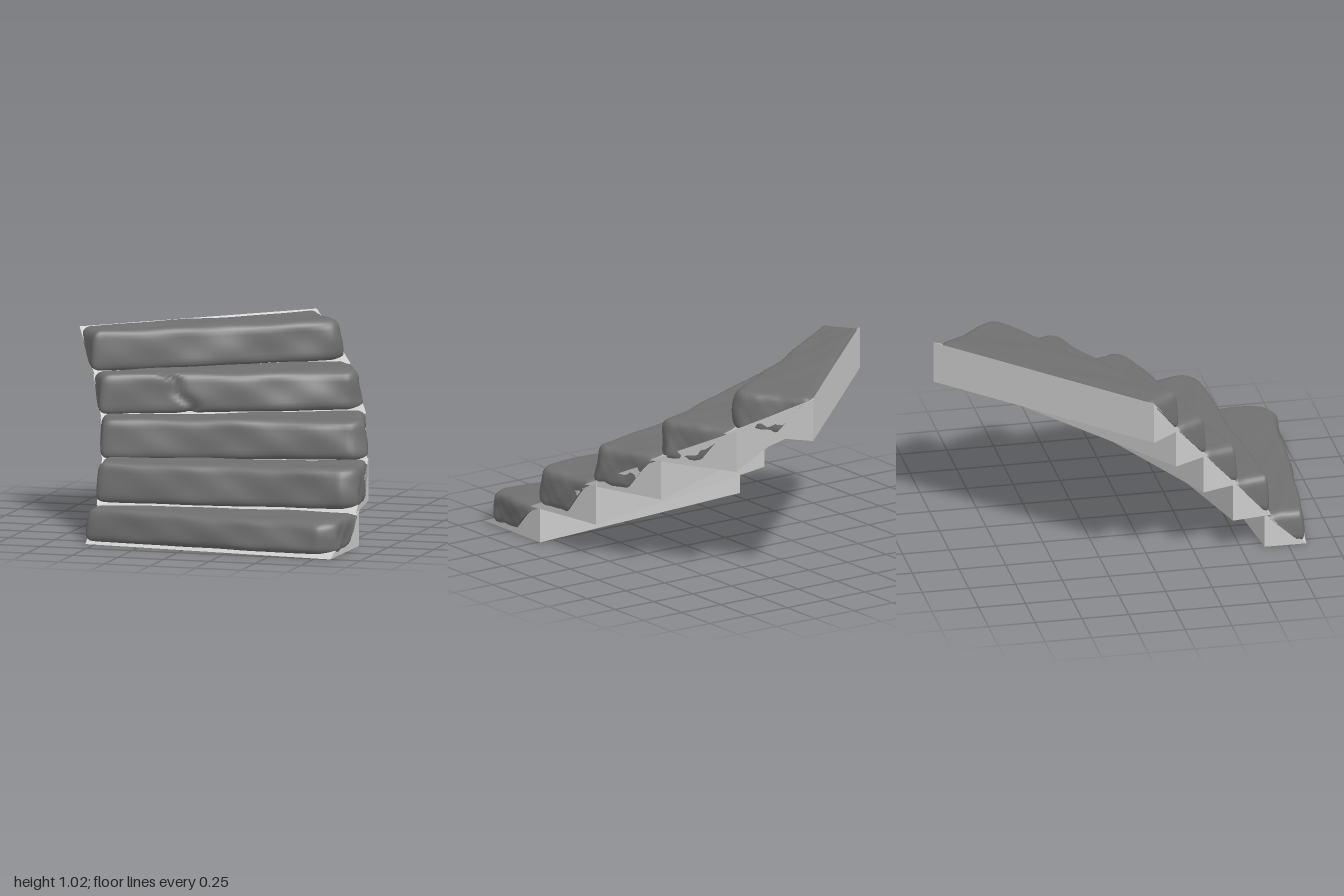
import * as THREE from 'three';
import { mergeVertices } from 'three/addons/utils/BufferGeometryUtils.js';

// Plan of the curved flight: centre of the arc, inner and outer radius
const CX = -1.64, CZ = 0.73, R0 = 1.095, R1 = 2.49;
const RAD = Math.PI / 180;
const STEPS = [
  { front: 6.2, back: -5.5, base: 0.0, block: 0.185, top: 0.19 },
  { front: -3.6, back: -14.9, base: 0.18, block: 0.405, top: 0.41 },
  { front: -13.0, back: -24.4, base: 0.385, block: 0.605, top: 0.61 },
  { front: -22.8, back: -34.4, base: 0.59, block: 0.81, top: 0.815 },
  { front: -32.8, back: -44.0, base: 0.79, block: 1.015, top: 1.02 },
];

const polar = (r, deg) => [CX + r * Math.cos(deg * RAD), CZ + r * Math.sin(deg * RAD)];
const clamp = THREE.MathUtils.clamp, lerp = THREE.MathUtils.lerp, smooth = THREE.MathUtils.smoothstep;

// Gentle uneven surface, different on every step
function wobble(a, b, k) {
  return 0.5 * Math.sin(a * 7 + b * 5 + k * 2.1) + 0.3 * Math.sin(a * 15 - b * 9 + k * 4.3)
    + 0.2 * Math.sin(a * 27 + b * 13 + k * 1.7);
}

// Wedge with flat bottom, upright back and sloping upper face
function supportGeometry(st) {
  const at = (r, deg, y) => { const [x, z] = polar(r, deg); return [x, y, z]; };
  const corners = [
    at(R0, st.front, st.base), at(R1, st.front, st.base),
    at(R0, st.back, st.base), at(R1, st.back, st.base),
    at(R0, st.back, st.block), at(R1, st.back, st.block),
  ];
  const faces = [0, 2, 3, 0, 3, 1, 2, 4, 5, 2, 5, 3, 0, 1, 5, 0, 5, 4, 0, 4, 2, 1, 3, 5];
  const g = new THREE.BufferGeometry();
  g.setAttribute('position', new THREE.Float32BufferAttribute(faces.flatMap(i => corners[i]), 3));
  g.computeVertexNormals();
  return g;
}

// Worn stone: a rounded box bent into the wedge plan, roughened, cut away along the support's slope
function stoneGeometry(st, k) {
  const L = R1 - R0, D = 0.36, H = st.top - st.base - 0.012, r = 0.04;
  let g = new THREE.BoxGeometry(L, H, D, 72, 12, 22);
  g.deleteAttribute('uv');
  g.deleteAttribute('normal');
  g = mergeVertices(g);
  const pos = g.attributes.position;
  const p = new THREE.Vector3(), core = new THREE.Vector3();
  for (let i = 0; i < pos.count; i++) {
    // Rounded edges
    p.fromBufferAttribute(pos, i);
    core.set(
      clamp(p.x, -L / 2 + r, L / 2 - r),
      clamp(p.y, -H / 2 + r, H / 2 - r),
      clamp(p.z, -D / 2 + r, D / 2 - r));
    p.sub(core).setLength(r).add(core);

    let s = p.x / L + 0.5, t = 0.5 - p.z / D;
    const v = p.y / H + 0.5;
    let y = st.base + 0.012 + v * H;

    // Uneven nose, top and ends
    const nose = 1 - smooth(t, 0, 0.5);
    t += nose * (0.025 + 0.03 * wobble(s, v * 0.5, k) + 0.05 * v * v);
    y += v * (0.006 * wobble(s * 0.8, t, k + 3) - 0.004);
    const outer = smooth(s, 0.85, 1), inner = 1 - smooth(s, 0, 0.12);
    s += outer * (0.006 - 0.008 * k * v * (1 - 0.4 * t) + 0.004 * wobble(t, v, k));
    s -= inner * (0.005 - 0.012 * v * v);
    t += nose * 0.1 * smooth(s, 0.93, 1);

    // Crack across the nose of the fourth step
    if (k === 3) {
      const line = 0.36 - 0.09 * v - 0.25 * t + 0.012 * Math.sin(v * 9);
      const cut = Math.exp(-(((s - line) / 0.018) ** 2)) * (1 - smooth(t, 0.15, 0.45));
      t += 0.09 * cut * nose;
      y -= 0.025 * cut * v;
    }

    // Underside follows the slope, less so at the outer end
    const slope = lerp(t, smooth(t, 0.45, 1.0), smooth(s, 0.3, 0.9));
    y = Math.max(y, st.base + (st.block - st.base) * slope - 0.015);
    if (y > st.top) y = st.top;

    const depth = t * (k === 4 ? 0.975 : 0.94);
    const [x0, z0] = polar(lerp(R0, R1, s), st.front);
    const [x1, z1] = polar(lerp(R0, R1, s), st.back);
    pos.setXYZ(i, lerp(x0, x1, depth), y, lerp(z0, z1, depth));
  }
  g.computeVertexNormals();
  return g;
}

export function createModel() {
  const group = new THREE.Group();
  group.name = 'curvedStairs';
  const supportMaterial = new THREE.MeshStandardMaterial({ color: 0xcccccc });
  const stoneMaterial = new THREE.MeshStandardMaterial({ color: 0x707070 });

  STEPS.forEach((st, k) => {
    const step = new THREE.Group();
    step.name = `step${k + 1}`;
    const support = new THREE.Mesh(supportGeometry(st), supportMaterial);
    support.name = 'supportWedge';
    const stone = new THREE.Mesh(stoneGeometry(st, k), stoneMaterial);
    stone.name = 'stoneTread';
    step.add(support, stone);
    group.add(step);
  });
  return group;
}
